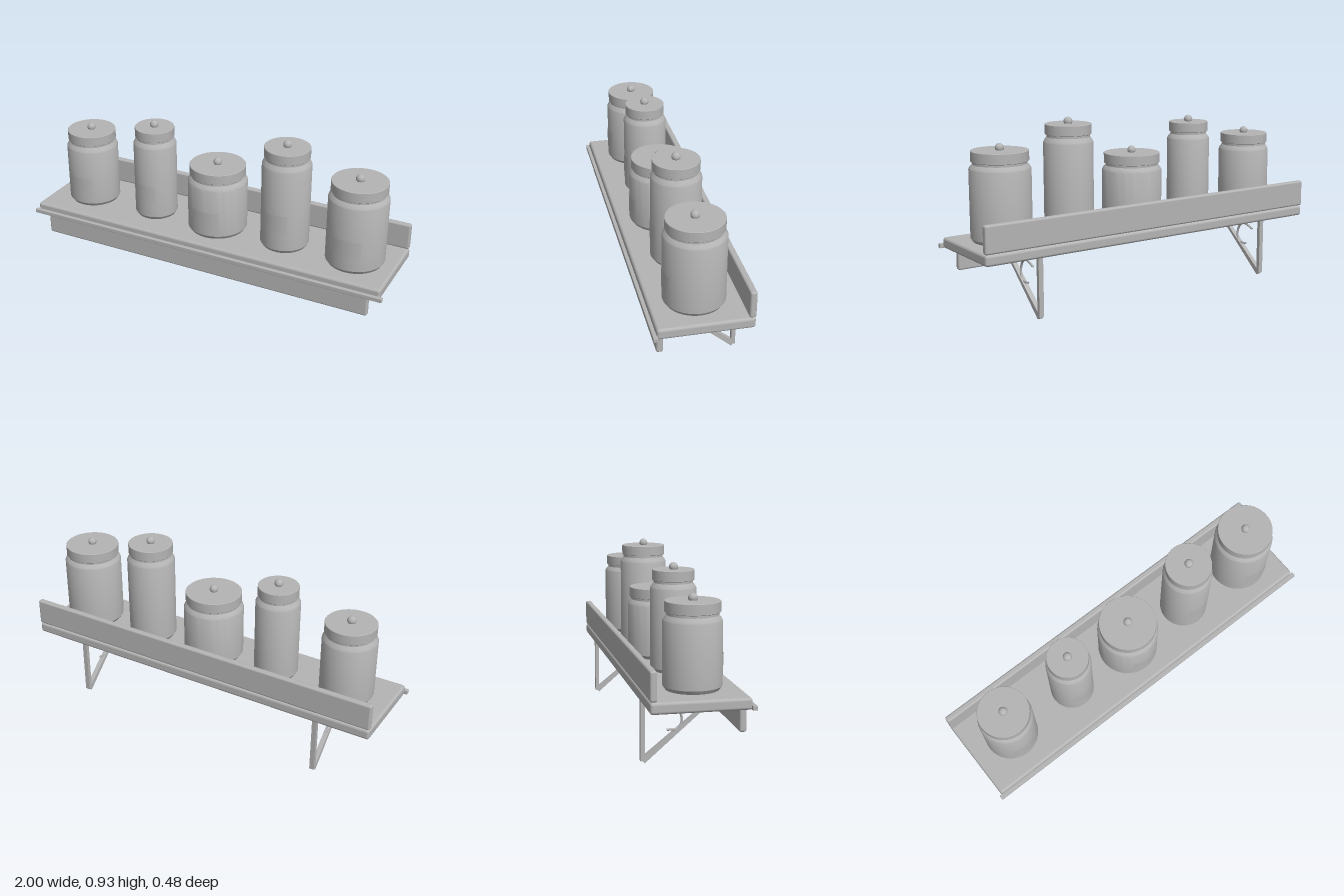
import * as THREE from 'three';
import { toCreasedNormals } from 'three/addons/utils/BufferGeometryUtils.js';
import { RoundedBoxGeometry } from 'three/addons/geometries/RoundedBoxGeometry.js';

const grey = new THREE.MeshStandardMaterial({ name: 'plain grey', color: 0xb4b4b4, side: THREE.DoubleSide });
const SHELF_TOP = 0.358;

function add(parent, name, geometry, x = 0, y = 0, z = 0) {
  const mesh = new THREE.Mesh(geometry, grey);
  mesh.name = name;
  mesh.position.set(x, y, z);
  parent.add(mesh);
  return mesh;
}

// Softened board given by its extents on each axis
function board(parent, name, [x0, x1], [y0, y1], [z0, z1], radius) {
  const geometry = new RoundedBoxGeometry(x1 - x0, y1 - y0, z1 - z0, 3, radius);
  add(parent, name, geometry, (x0 + x1) / 2, (y0 + y1) / 2, (z0 + z1) / 2);
}

function lathe(points) {
  const profile = points.map(([r, y]) => new THREE.Vector2(r, y));
  return toCreasedNormals(new THREE.LatheGeometry(profile, 48), 0.5);
}

// Canister with chamfered foot, neck, lid, knob and curved front label
function canister({ x, r, lidR, shoulder, lidTop }) {
  const jar = new THREE.Group();
  jar.name = 'canister';
  jar.position.set(x, 0, 0.003);
  const lidBase = lidTop - 0.052;
  add(jar, 'jarBody', lathe([
    [0, SHELF_TOP], [r - 0.012, SHELF_TOP], [r, SHELF_TOP + 0.018],
    [r, shoulder - 0.013], [r - 0.004, shoulder - 0.004],
    [lidR - 0.008, lidBase - 0.012], [lidR - 0.008, lidBase + 0.005], [0, lidBase + 0.005],
  ]));
  add(jar, 'lid', lathe([
    [0, lidBase], [lidR - 0.002, lidBase], [lidR, lidBase + 0.002],
    [lidR, lidTop - 0.002], [lidR - 0.002, lidTop], [0, lidTop],
  ]));
  add(jar, 'knob', new THREE.SphereGeometry(0.022, 24, 16), 0, lidTop + 0.011, 0.001);
  const labelY = SHELF_TOP + 0.36 * (shoulder - SHELF_TOP);
  add(jar, 'label', new THREE.CylinderGeometry(r + 0.003, r + 0.003, 0.098, 16, 1, true, -0.49, 0.98), 0, labelY, 0);
  return jar;
}

// Triangular bracket drawn in (z, y), with a scroll inside
function bracket(x) {
  const group = new THREE.Group();
  group.name = 'bracket';
  group.position.x = x;
  const width = 0.025;
  const outline = [[0.142, 0.304], [-0.228, 0.304], [-0.228, 0.011], [-0.217, 0.011], [-0.209, 0]];
  const opening = [[0.117, 0.296], [-0.208, 0.296], [-0.208, 0.036]];
  const toPoints = (list) => list.map(([z, y]) => new THREE.Vector2(-z, y));
  const shape = new THREE.Shape(toPoints(outline));
  shape.holes.push(new THREE.Path(toPoints(opening)));
  const frame = new THREE.ExtrudeGeometry(shape, { depth: width, bevelEnabled: false });
  frame.translate(0, 0, -width / 2);
  frame.rotateY(Math.PI / 2);
  add(group, 'bracketFrame', frame);

  const scroll = [
    [-0.153, 0.245], [-0.115, 0.26], [-0.08, 0.265], [-0.05, 0.248],
    [-0.033, 0.215], [-0.034, 0.18], [-0.055, 0.155], [-0.102, 0.152],
  ].map(([z, y]) => new THREE.Vector3(0, y, z));
  add(group, 'bracketScroll', new THREE.TubeGeometry(new THREE.CatmullRomCurve3(scroll), 32, 0.006, 8));
  return group;
}

export function createModel() {
  const model = new THREE.Group();
  model.name = 'canisterShelf';

  // Boards
  board(model, 'shelf', [-0.988, 0.985], [0.303, SHELF_TOP], [-0.238, 0.223], 0.014);
  board(model, 'backBoard', [-0.988, 0.985], [0.36, 0.498], [-0.239, -0.206], 0.01);
  board(model, 'apron', [-0.93, 0.923], [0.187, 0.302], [0.18, 0.213], 0.01);
  board(model, 'frontTrim', [-1, 1], [0.303, 0.325], [0.219, 0.241], 0.003);

  // Brackets
  for (const x of [-0.7, 0.693]) model.add(bracket(x));

  // Canisters
  [
    { x: -0.758, r: 0.137, lidR: 0.128, shoulder: 0.686, lidTop: 0.764 },
    { x: -0.363, r: 0.113, lidR: 0.103, shoulder: 0.777, lidTop: 0.855 },
    { x: 0.008, r: 0.155, lidR: 0.145, shoulder: 0.644, lidTop: 0.72 },
    { x: 0.392, r: 0.125, lidR: 0.116, shoulder: 0.818, lidTop: 0.897 },
    { x: 0.775, r: 0.15, lidR: 0.14, shoulder: 0.722, lidTop: 0.798 },
  ].forEach((jar) => model.add(canister(jar)));

  return model;
}
